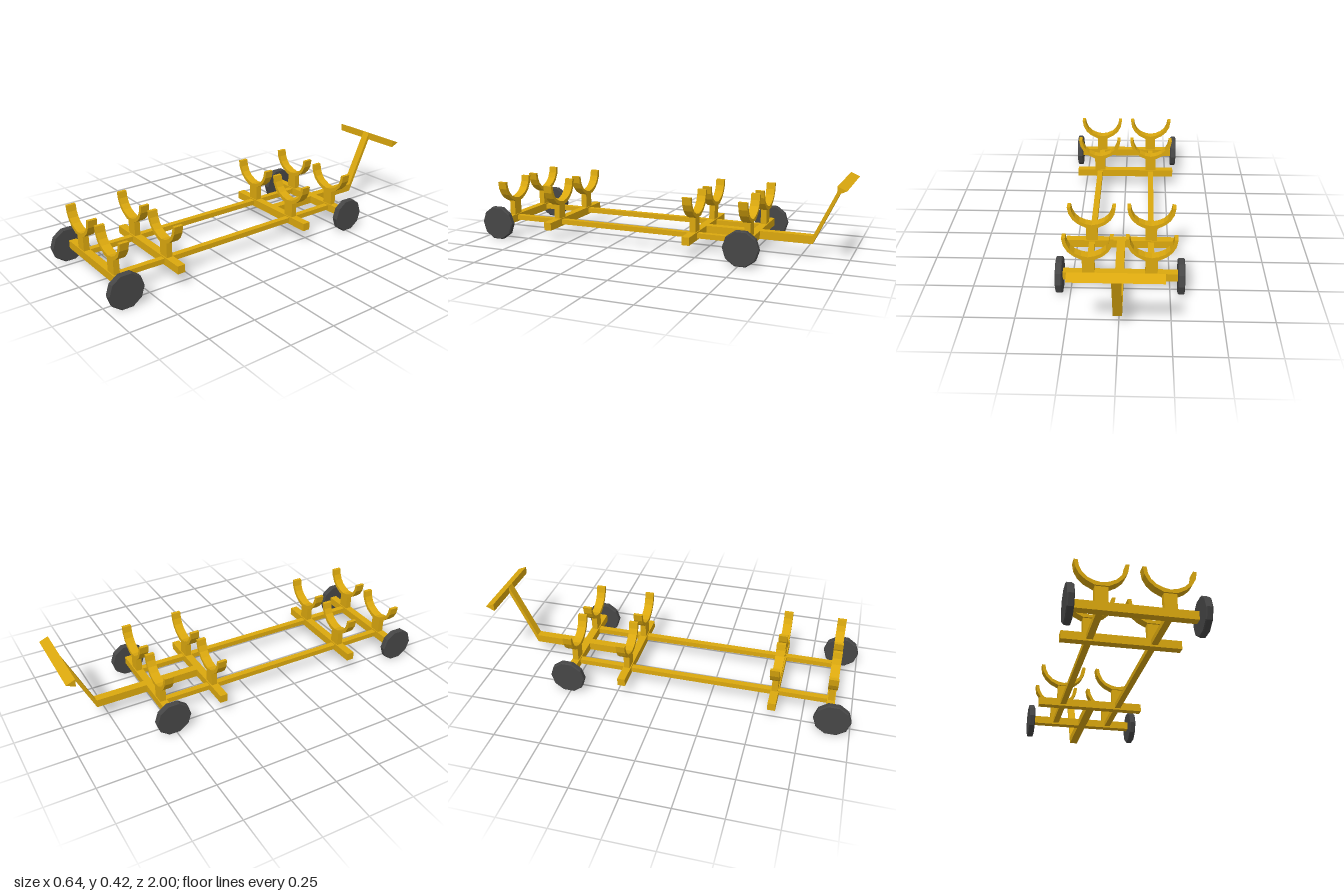
import * as THREE from 'three';

export function createModel() {
  const cart = new THREE.Group();
  cart.name = 'trolley';

  const yellow = new THREE.MeshStandardMaterial({ color: 0xdba80e });
  yellow.name = 'yellow paint';
  const rubber = new THREE.MeshStandardMaterial({ color: 0x464646 });
  rubber.name = 'dark rubber';

  const add = (name, geometry, material, x, y, z) => {
    const mesh = new THREE.Mesh(geometry, material);
    mesh.name = name;
    mesh.position.set(x, y, z);
    cart.add(mesh);
    return mesh;
  };
  // Outline extruded by depth and centred on its own plane
  const plate = (points, depth) => {
    const shape = new THREE.Shape(points.map(([a, b]) => new THREE.Vector2(a, b)));
    return new THREE.ExtrudeGeometry(shape, { depth, bevelEnabled: false }).translate(0, 0, -depth / 2);
  };
  // Side outline given as (z, y), extruded across x
  const sidePlate = (points, width) => plate(points, width).rotateY(-Math.PI / 2);

  const midX = 0.002;
  const railX = 0.157;
  const barZ = [0.886, 0.594, -0.215, -0.511];

  // U-shaped cradle: outer and inner half outlines, mirrored
  const outer = [[0.127, 0.319], [0.12, 0.279], [0.101, 0.244], [0.073, 0.218], [0.032, 0.196]];
  const inner = [[0.109, 0.319], [0.103, 0.286], [0.089, 0.257], [0.066, 0.234], [0.034, 0.219]];
  const flip = (pts) => pts.map(([x, y]) => [-x, y]);
  const cradleGeo = plate([
    ...flip(outer), ...[...outer].reverse(),
    ...inner, [0, 0.212], ...flip(inner).reverse(),
  ], 0.048);
  const postGeo = new THREE.BoxGeometry(0.062, 0.1, 0.032);
  const barGeo = new THREE.BoxGeometry(0.588, 0.043, 0.042);

  // Cross bars, each carrying two cradles on posts
  for (const z of barZ) {
    add('crossBar', barGeo, yellow, midX, 0.0945, z);
    for (const side of [-1, 1]) {
      const x = midX + side * railX;
      add('cradlePost', postGeo, yellow, x, 0.148, z);
      add('cradle', cradleGeo, yellow, x, 0, z);
    }
  }

  // Long side rails
  const railGeo = new THREE.BoxGeometry(0.032, 0.027, barZ[0] - barZ[3]);
  for (const side of [-1, 1]) {
    add('sideRail', railGeo, yellow, midX + side * railX, 0.096, (barZ[0] + barZ[3]) / 2);
  }

  // Ten-sided wheels with a small edge bevel
  const wheelProfile = [[0, -0.0165], [0.09, -0.0165], [0.095, -0.0115], [0.095, 0.0115], [0.09, 0.0165], [0, 0.0165]]
    .map(([r, y]) => new THREE.Vector2(r, y));
  const wheelGeo = new THREE.LatheGeometry(wheelProfile, 10).rotateZ(Math.PI / 2).toNonIndexed();
  wheelGeo.computeVertexNormals();
  for (const z of [0.905, -0.511]) {
    for (const side of [-1, 1]) add('wheel', wheelGeo, rubber, side * 0.3035, 0.0905, z);
  }

  // Tow bar: level run, then an upward bend, with a wedge-shaped grip
  const handleX = 0.0045;
  add('towBar', sidePlate([
    [-0.2, 0.073], [-0.2, 0.116], [-0.81, 0.116], [-0.952, 0.418], [-0.966, 0.406], [-0.81, 0.073],
  ], 0.044), yellow, handleX, 0, 0);
  add('handleGrip', sidePlate([[-0.952, 0.42], [-0.952, 0.378], [-0.999, 0.4]], 0.427), yellow, handleX, 0, 0);

  return cart;
}
